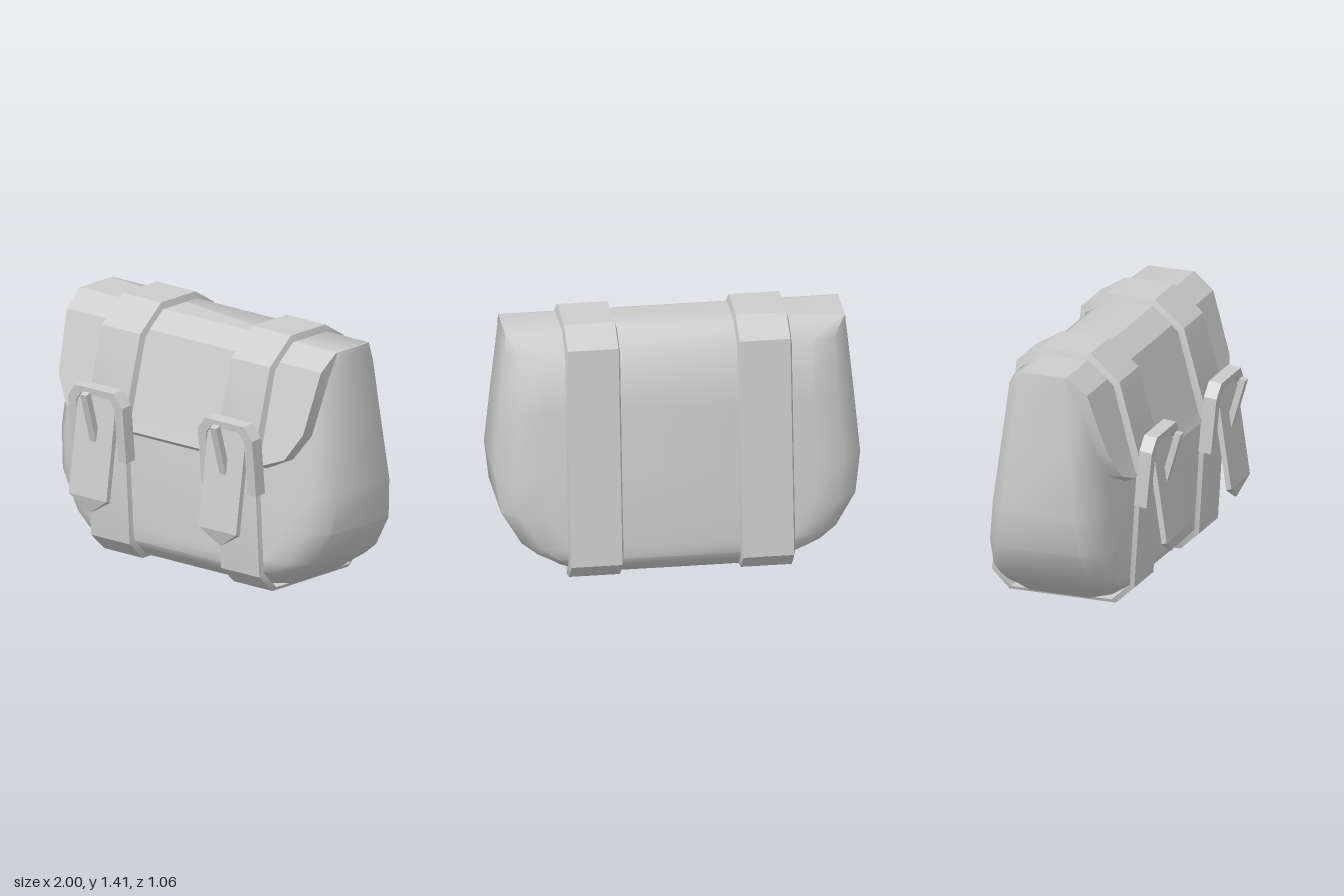
import * as THREE from 'three';
import { toCreasedNormals } from 'three/addons/utils/BufferGeometryUtils.js';

// Solid skinned over rings of points; either capped at both ends or joined into a loop.
function loft(rings, crease, loop = false) {
  const n = rings[0].length;
  const v = rings.flat();
  const tris = [];
  const steps = loop ? rings.length : rings.length - 1;
  for (let r = 0; r < steps; r++) {
    const a = r * n, b = ((r + 1) % rings.length) * n;
    for (let i = 0; i < n; i++) {
      const j = (i + 1) % n;
      tris.push([a + i, a + j, b + j], [a + i, b + j, b + i]);
    }
  }
  if (!loop) {
    const e = (rings.length - 1) * n;
    for (let i = 1; i < n - 1; i++) tris.push([0, i + 1, i], [e, e + i, e + i + 1]);
  }
  // Turn all faces outward
  const P = v.map((p) => new THREE.Vector3(...p));
  let volume = 0;
  for (const [a, b, c] of tris) volume += P[a].dot(P[b].clone().cross(P[c]));
  const index = tris.flatMap(([a, b, c]) => (volume < 0 ? [a, c, b] : [a, b, c]));
  const g = new THREE.BufferGeometry();
  g.setAttribute('position', new THREE.Float32BufferAttribute(v.flat(), 3));
  g.setIndex(index);
  return toCreasedNormals(g, crease);
}

// Four-cornered section across x, from an outer and an inner [z, y, halfWidth]
const band = ([oz, oy, ow], [iz, iy, iw]) => [
  [-ow, oy, oz], [ow, oy, oz], [iw, iy, iz], [-iw, iy, iz],
];

export function createModel() {
  const leather = new THREE.MeshStandardMaterial({ color: 0xcccccc });
  leather.name = 'light grey';
  const model = new THREE.Group();
  model.name = 'satchel';
  const add = (parent, name, geometry) => {
    const mesh = new THREE.Mesh(geometry, leather);
    mesh.name = name;
    parent.add(mesh);
    return mesh;
  };

  // Body: rounded plan outlines stacked upward [y, halfWidth, zFront, zBack, corner]
  const levels = [
    [0.02, 0.64, 0.18, -0.41, 1],
    [0.07, 0.70, 0.23, -0.45, 1],
    [0.12, 0.77, 0.28, -0.49, 1],
    [0.19, 0.86, 0.272, -0.482, 1],
    [0.37, 0.97, 0.252, -0.461, 1],
    [0.60, 1.0, 0.226, -0.433, 1],
    [0.95, 0.97, 0.187, -0.39, 0.95],
    [1.28, 0.938, 0.15, -0.35, 0.85],
    [1.375, 0.93, 0.04, -0.23, 0.05],
  ];
  const outline = ([y, w, f, b, k]) => {
    const right = [
      [w - 0.25 * k, y, f], [w - 0.1 * k, y, f - 0.03 * k], [w, y, f - 0.12 * k],
      [w, y, b + 0.12 * k], [w - 0.1 * k, y, b + 0.03 * k], [w - 0.25 * k, y, b],
    ];
    const left = right.map(([x, h, z]) => [-x, h, z]).reverse();
    return [...right, ...left];
  };
  add(model, 'body', loft(levels.map(outline), 0.9));

  // Front flap: rows from the top edge to the rounded lower edge
  const flapRows = [
    [[0.04, 1.378, 0.93], [0.035, 1.36, 0.93]],
    [[0.155, 1.285, 0.92], [0.09, 1.24, 0.92]],
    [[0.262, 0.95, 0.885], [0.19, 0.93, 0.885]],
    [[0.308, 0.80, 0.79], [0.235, 0.79, 0.79]],
    [[0.328, 0.75, 0.66], [0.26, 0.71, 0.62]],
  ];
  add(model, 'flap', loft(flapRows.map(([o, i]) => band(o, i)), 0.5));

  // Strap loop, outer and inner [z, y]
  const strapOuter = [
    [0.2, 0], [-0.42, 0], [-0.525, 0.1], [-0.38, 1.32], [-0.23, 1.412],
    [0.05, 1.412], [0.22, 1.27], [0.35, 0.8], [0.307, 0.1],
  ];
  const strapInner = [
    [0.18, 0.02], [-0.41, 0.02], [-0.49, 0.13], [-0.352, 1.285], [-0.23, 1.373],
    [0.04, 1.373], [0.19, 1.25], [0.322, 0.75], [0.284, 0.12],
  ];
  const strapGeometry = loft(
    strapOuter.map((o, i) => band([...o, 0.139], [...strapInner[i], 0.15])), 0.5, true);

  // Loose strap end with a pointed tip
  const tongueGeometry = loft([
    band([0.411, 0.95, 0.136], [0.38, 0.95, 0.136]),
    band([0.495, 0.38, 0.136], [0.465, 0.37, 0.136]),
    band([0.47, 0.29, 0.004], [0.462, 0.29, 0.004]),
  ], 0.4);

  // Buckle: arch open at the bottom
  const arch = new THREE.Shape([
    [-0.197, 0], [-0.197, 0.32], [-0.14, 0.395], [0.14, 0.395], [0.197, 0.32], [0.197, 0],
    [0.138, 0], [0.138, 0.31], [0.1, 0.355], [-0.1, 0.355], [-0.138, 0.31], [-0.138, 0],
  ].map(([x, y]) => new THREE.Vector2(x, y)));
  const buckleGeometry = new THREE.ExtrudeGeometry(arch, { depth: 0.074, bevelEnabled: false });

  // Prong: slim bar leaning out through the strap end
  const prongGeometry = new THREE.BoxGeometry(0.045, 0.39, 0.036);

  for (const [side, x] of [['left', 0.47], ['right', -0.47]]) {
    const fastening = new THREE.Group();
    fastening.name = `${side}Fastening`;
    fastening.position.x = x;
    model.add(fastening);
    add(fastening, 'strap', strapGeometry);
    add(fastening, 'strapEnd', tongueGeometry);
    const buckle = add(fastening, 'buckle', buckleGeometry);
    buckle.position.set(0, 0.595, 0.327);
    buckle.rotation.x = 0.1;
    const prong = add(fastening, 'prong', prongGeometry);
    prong.position.set(0, 0.785, 0.459);
    prong.rotation.x = 0.28;
  }
  return model;
}
